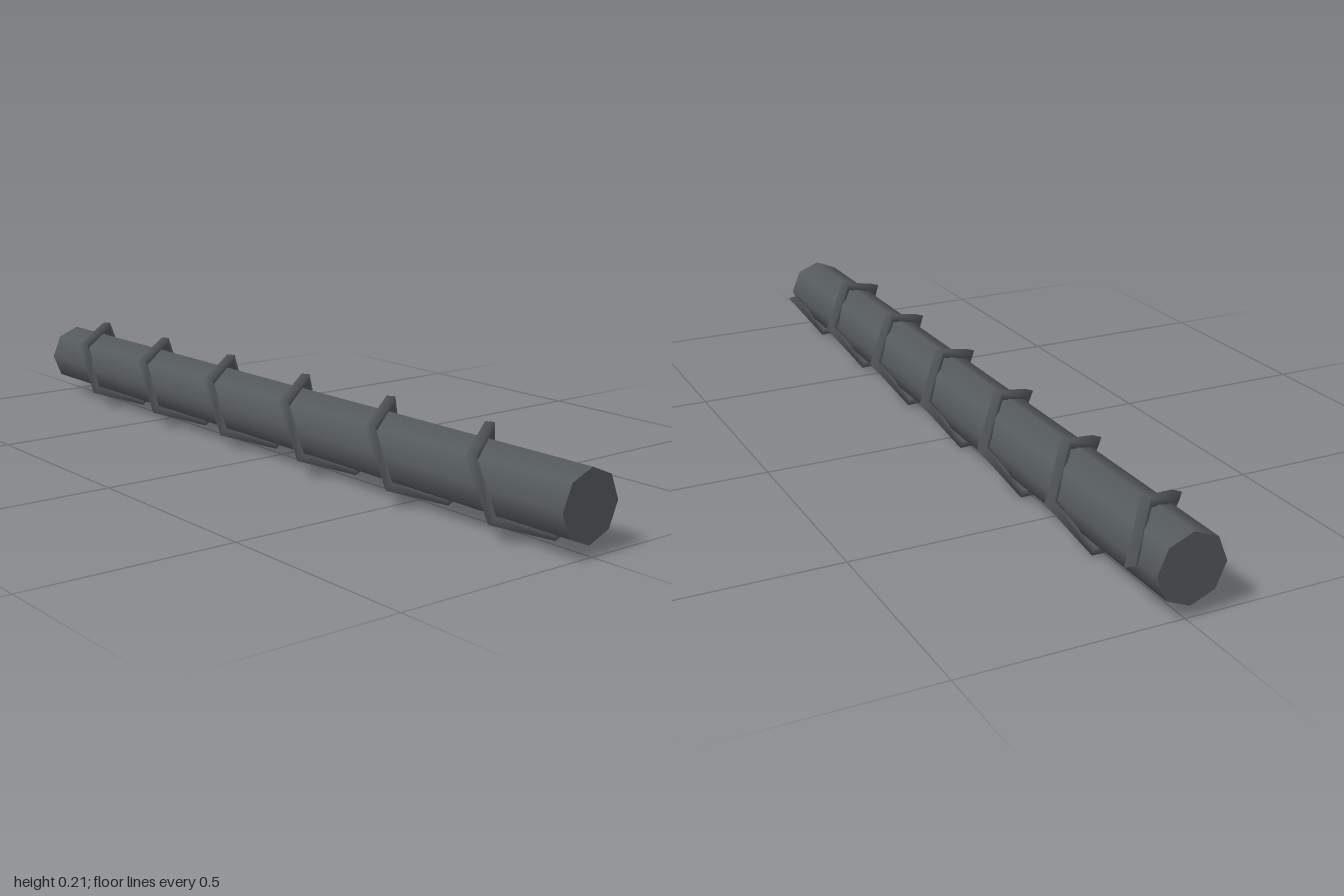
import * as THREE from 'three';

const TURNS = 6, COIL_RADIUS = 0.1, COIL_HALF = 0.94;

// Helix winding from the front (+z) to the back, starting on the +x side
class Helix extends THREE.Curve {
  getPoint(t, target = new THREE.Vector3()) {
    const a = -t * TURNS * Math.PI * 2;
    return target.set(
      Math.cos(a) * COIL_RADIUS,
      Math.sin(a) * COIL_RADIUS,
      COIL_HALF * (1 - 2 * t)
    );
  }
}

export function createModel() {
  const model = new THREE.Group();
  model.name = 'ribbedBar';

  const steel = new THREE.MeshStandardMaterial({ color: 0x555a5a });
  steel.name = 'dark steel';
  steel.side = THREE.DoubleSide; // the coil is open at its ends

  // Eight-sided bar with smooth sides, lying along z
  const bar = new THREE.Mesh(
    new THREE.CylinderGeometry(0.08, 0.08, 2, 8).rotateX(Math.PI / 2), steel);
  bar.name = 'bar';

  // Square-section rib, five segments per turn
  const rib = new THREE.Mesh(
    new THREE.TubeGeometry(new Helix(), TURNS * 5, 0.015, 4, false), steel);
  rib.name = 'spiralRib';

  model.add(bar, rib);
  for (const part of model.children) part.position.set(-0.01, 0.11, 0);
  return model;
}
